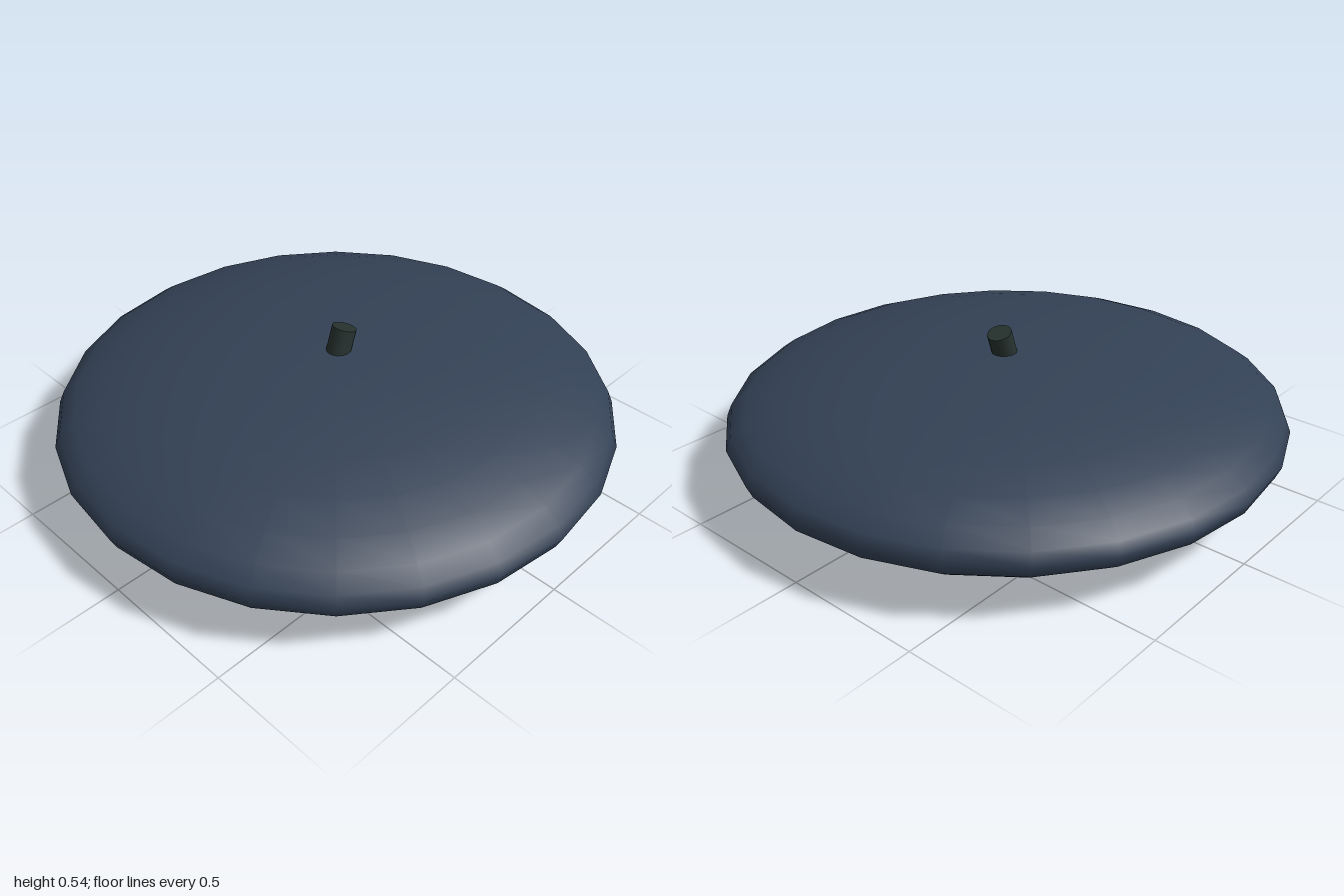
import * as THREE from 'three';

export function createModel() {
  const model = new THREE.Group();
  const slate = new THREE.MeshStandardMaterial({ name: 'slate blue', color: 0x334155 });
  const dark = new THREE.MeshStandardMaterial({ name: 'dark green grey', color: 0x26322f });

  const add = (name, geometry, material, x, y) => {
    const mesh = new THREE.Mesh(geometry, material);
    mesh.name = name;
    mesh.position.set(x, y, 0);
    model.add(mesh);
    return mesh;
  };

  // Flattened ellipsoid body
  add('body', new THREE.SphereGeometry(1, 24, 16).scale(1, 0.226, 1), slate, 0, 0.226);

  // Thin disc around the underside
  add('baseRing', new THREE.CylinderGeometry(0.667, 0.667, 0.028, 32), dark, 0, 0.05);

  // Short stem leaning to the left; its lower end sits inside the body
  const tilt = 0.33, length = 0.15;
  const stem = add('stem', new THREE.CylinderGeometry(0.044, 0.044, length, 16), dark,
    0.042 - Math.sin(tilt) * length / 2, 0.53 - Math.cos(tilt) * length / 2);
  stem.rotation.z = -tilt;

  return model;
}
